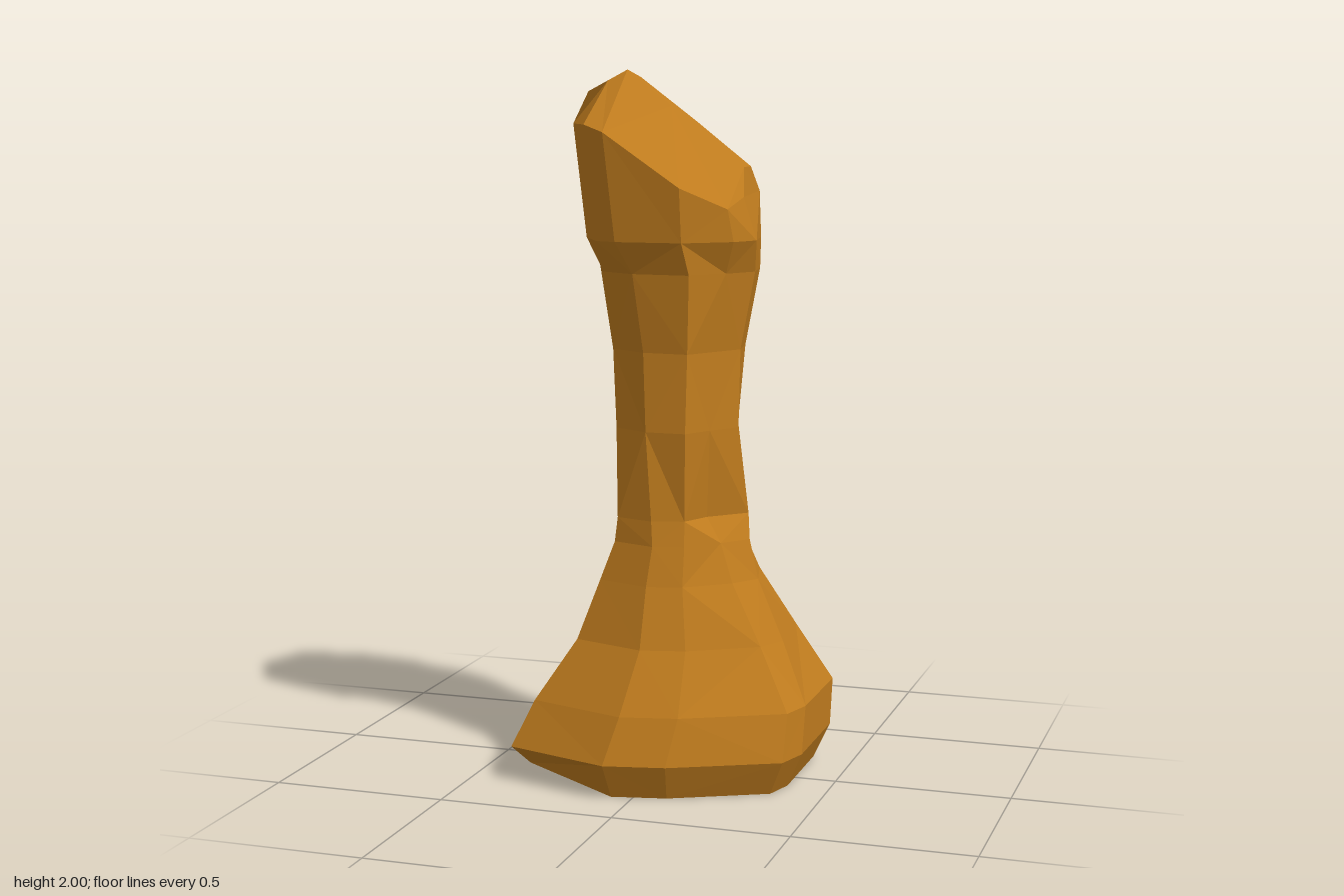
import * as THREE from 'three';

// Outlines of the four zones as [x, z], running from +x round to the front
const OUTLINES = [
  // wide foot
  [[1, .23], [.93, .5], [.24, .9], [-.16, 1], [-.88, .73], [-1, -.23], [-.28, -.98], [0, -1], [.68, -.96], [1, -.67]],
  // waist, notched at the back right and front right corners
  [[1, -.2], [.45, .35], [.22, .85], [-.3, 1], [-.95, .8], [-1, -.1], [-.6, -.8], [-.2, -1], [.15, -1], [.5, -.55]],
  // shaft, with a hollow at the front left
  [[1, 0], [.72, .5], [.45, 1], [-.25, .95], [-.85, .55], [-1, -.1], [-.65, -.75], [-.2, -1], [.45, -1], [.88, -.75]],
  // head
  [[1, .17], [.83, .55], [.34, .98], [-.43, 1], [-.68, .89], [-1, .26], [-.77, -.49], [-.45, -1], [.11, -.98], [.87, -.55]],
];
const N = 10;

// Cross-sections: height, x range, z range, slope along x, outline blend
const SECTIONS = [
  [-.02, -.38, .38, -.32, .33, .2, 0],
  [.1, -.43, .425, -.35, .375, 0, 0],
  [.23, -.37, .425, -.375, .33, 0, 0],
  [.4, -.25, .345, -.31, .24, 0, .15],
  [.57, -.18, .265, -.245, .19, 0, .35],
  [.68, -.135, .235, -.215, .165, 0, .55],
  [.75, -.12, .222, -.2, .155, 0, 1],
  [1, -.15, .2, -.19, .145, 0, 1.8],
  [1.22, -.175, .2, -.215, .13, 0, 2],
  [1.44, -.22, .24, -.265, .145, 0, 2.3],
  [1.53, -.24, .255, -.27, .175, 0, 3],
];

// Rim of the head and the sloping ridge that closes it
const RIM = [
  [.22, 1.65, 0], [.2, 1.62, .09], [.09, 1.68, .185], [-.125, 1.83, .2], [-.19, 1.85, .17],
  [-.275, 1.85, .02], [-.225, 1.84, -.15], [-.13, 1.73, -.26], [.02, 1.63, -.27], [.215, 1.66, -.18],
];
const RIDGE = [
  [.2, 1.73, -.07], [.1, 1.815, -.05], [0, 1.9, -.03], [-.12, 2, 0], [-.17, 1.97, .022],
  [-.22, 1.94, .045], [-.18, 1.92, -.14], [-.105, 1.98, -.07], [.05, 1.855, -.11], [.2, 1.73, -.14],
];

// Blend two outlines and stretch the result to the wanted ranges
function section([y, x0, x1, z0, z1, slope, blend]) {
  const k = Math.min(Math.floor(blend), OUTLINES.length - 2);
  const pts = OUTLINES[k].map((p, i) =>
    p.map((v, c) => THREE.MathUtils.lerp(v, OUTLINES[k + 1][i][c], blend - k)));
  const fit = (c, lo, hi) => {
    const all = pts.map(p => p[c]);
    const a = Math.min(...all), b = Math.max(...all);
    return all.map(v => lo + (hi - lo) * (v - a) / (b - a));
  };
  const xs = fit(0, x0, x1), zs = fit(1, z0, z1);
  return xs.map((x, i) => [x, Math.max(0, y - slope * x), zs[i]]);
}

// Skin the loops, with the diagonals alternating for a hewn look
function loft(loops) {
  const index = [];
  const last = (loops.length - 1) * N;
  for (let r = 0; r < loops.length - 1; r++) {
    for (let i = 0; i < N; i++) {
      const a = r * N + i, b = r * N + (i + 1) % N, c = a + N, d = b + N;
      if ((r + i) % 2) index.push(a, c, b, b, c, d);
      else index.push(a, c, d, a, d, b);
    }
  }
  // underside, and the top as a fan from its peak
  for (let i = 1; i < N - 1; i++) {
    index.push(0, i, i + 1);
    index.push(last + 3, last + (4 + i) % N, last + (3 + i) % N);
  }
  const geo = new THREE.BufferGeometry();
  geo.setAttribute('position', new THREE.Float32BufferAttribute(loops.flat(2), 3));
  geo.setIndex(index);
  const flat = geo.toNonIndexed();
  flat.computeVertexNormals();
  return flat;
}

export function createModel() {
  const model = new THREE.Group();
  const material = new THREE.MeshStandardMaterial({ color: 0xc07c1e, flatShading: true });
  const pillar = new THREE.Mesh(loft([...SECTIONS.map(section), RIM, RIDGE]), material);
  pillar.name = 'rockPillar';
  model.add(pillar);
  return model;
}
